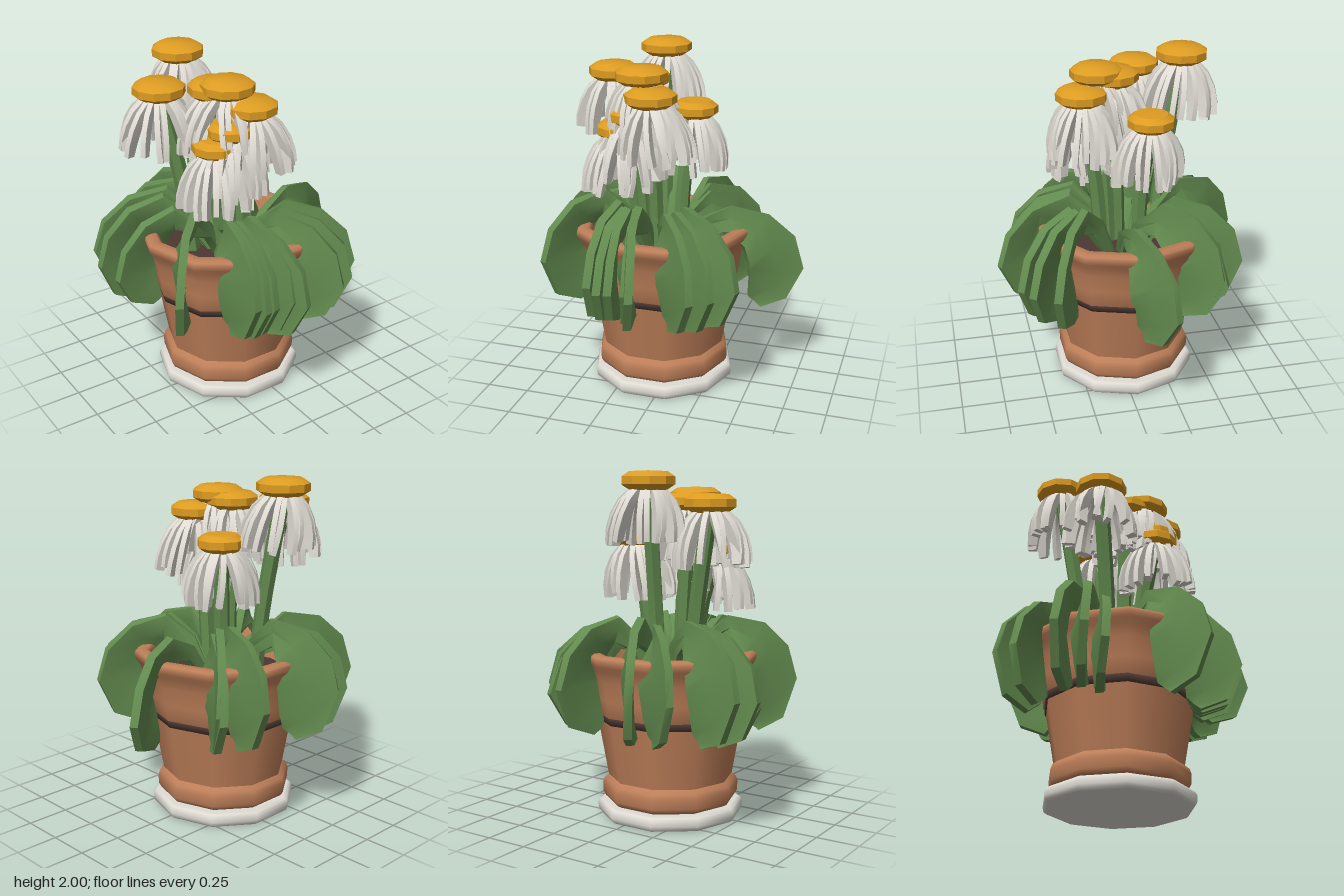
import * as THREE from 'three';
import { toCreasedNormals } from 'three/addons/utils/BufferGeometryUtils.js';

const mat = (name, color) => Object.assign(new THREE.MeshStandardMaterial({ color }), { name });

const CX = -0.062, CZ = -0.036; // pot axis

// small seeded generator for natural variation
let seed = 7;
const jitter = (a) => {
  seed = (seed * 16807) % 2147483647;
  return (seed / 2147483647 - 0.5) * 2 * a;
};

// closed solid swept along points; the section is scaled by [half width, half thickness]
function loft(points, section, scales, side) {
  const pos = [], idx = [], k = section.length, last = points.length - 1;
  points.forEach((p, i) => {
    const t = points[Math.min(i + 1, last)].clone().sub(points[Math.max(i - 1, 0)]).normalize();
    const n = side.clone().cross(t).normalize();
    const s = t.clone().cross(n);
    const [w, h] = scales[i];
    section.forEach(([a, b]) => {
      const v = p.clone().addScaledVector(n, a * w).addScaledVector(s, b * h);
      pos.push(v.x, v.y, v.z);
    });
  });
  for (let i = 0; i < last; i++) {
    for (let j = 0; j < k; j++) {
      const a = i * k + j, b = i * k + (j + 1) % k;
      idx.push(a, b, b + k, a, b + k, a + k);
    }
  }
  for (let j = 1; j < k - 1; j++) {
    idx.push(0, j + 1, j, last * k, last * k + j, last * k + j + 1);
  }
  const g = new THREE.BufferGeometry();
  g.setAttribute('position', new THREE.Float32BufferAttribute(pos, 3));
  g.setIndex(idx);
  return toCreasedNormals(g, 0.6);
}

// ten-sided turned part with a corner pointing to +x
function turned(profile) {
  return new THREE.LatheGeometry(profile.map(([r, y]) => new THREE.Vector2(r, y)), 10, Math.PI / 10);
}

export function createModel() {
  const root = new THREE.Group();
  root.name = 'pottedFlowers';
  const terracotta = mat('terracotta', 0xbe7f59);
  const cream = mat('saucerCream', 0xdfdcd4);
  const dark = mat('darkBrown', 0x4c3833);
  const green = mat('leafGreen', 0x638b4f);
  const white = mat('petalWhite', 0xdfdbd3);
  const yellow = mat('discYellow', 0xdd9c22);

  const add = (parent, name, geometry, material) => {
    const m = new THREE.Mesh(geometry, material);
    m.name = name;
    parent.add(m);
    return m;
  };

  // pot, saucer, belt and soil
  const pot = new THREE.Group();
  pot.name = 'pot';
  pot.position.set(CX, 0, CZ);
  root.add(pot);
  add(pot, 'saucer', turned([[0, 0.003], [0.41, 0.003], [0.425, 0.015], [0.43, 0.035], [0.43, 0.06], [0.42, 0.08],
    [0.4, 0.088], [0, 0.088]]), cream);
  add(pot, 'foot', turned([[0.36, 0.086], [0.385, 0.1], [0.4, 0.125], [0.402, 0.18], [0.392, 0.21], [0.366, 0.232]]), terracotta);
  add(pot, 'body', turned([[0.366, 0.225], [0.43, 0.585]]), terracotta);
  add(pot, 'belt', turned([[0.40, 0.58], [0.436, 0.58], [0.442, 0.625], [0.40, 0.626]]), dark);
  add(pot, 'collar', turned([[0.42, 0.622], [0.448, 0.624], [0.458, 0.72], [0.475, 0.83], [0.5, 0.895], [0.522, 0.925],
    [0.53, 0.955], [0.525, 0.975], [0.505, 0.985], [0.46, 0.983], [0.44, 0.965], [0.4, 0.78]]), terracotta);
  add(pot, 'soil', turned([[0.41, 0.82], [0, 0.84]]), dark);

  // leaves: base, bend and tip in plan (x, z pairs), then extra height
  const leaves = [
    [0.05, 0.0, 0.5, 0.03, 0.77, -0.17, 0],
    [0.02, -0.06, 0.24, -0.19, 0.5, -0.59, 0.02],
    [0.02, -0.1, 0.24, -0.26, 0.47, -0.51, 0.06],
    [0.02, -0.12, 0.22, -0.33, 0.28, -0.7, 0.08],
    [-0.08, -0.14, -0.06, -0.54, -0.24, -0.73, 0.1],
    [-0.1, -0.14, -0.2, -0.54, -0.42, -0.63, 0.06],
    [-0.12, -0.12, -0.4, -0.38, -0.76, -0.47, 0.08],
    [-0.14, -0.1, -0.5, -0.34, -0.76, -0.3, 0.06],
    [-0.14, -0.05, -0.45, -0.24, -0.7, -0.19, 0.0],
    [-0.14, 0.02, -0.52, 0.08, -0.67, 0.4, 0.08],
    [-0.12, 0.05, -0.36, 0.28, -0.31, 0.64, 0.06],
    [-0.12, 0.06, -0.32, 0.3, -0.25, 0.65, 0.03],
    [-0.1, 0.07, -0.28, 0.32, -0.19, 0.62, 0.03],
    [-0.09, 0.07, -0.19, 0.4, -0.03, 0.74, 0.04],
    [-0.08, 0.07, -0.17, 0.36, -0.09, 0.64, 0.05],
    [-0.03, 0.07, 0.06, 0.42, 0.27, 0.63, 0.03],
    [0.0, 0.06, 0.12, 0.39, 0.39, 0.59, 0.04],
    [0.02, 0.05, 0.17, 0.35, 0.52, 0.47, 0.06],
  ];
  // each station: fraction of reach, height, half width
  const stations = [[0, 0.8, 0.03], [0.15, 0.98, 0.045], [0.36, 1.04, 0.075], [0.56, 0.97, 0.12],
    [0.69, 0.85, 0.16], [0.73, 0.73, 0.172], [0.67, 0.61, 0.13], [0.56, 0.53, 0.05]];
  const cupped = [[1, -1], [1, 1], [0, 0.4], [-1, 1], [-1, -1], [0, -1.6]];
  const foliage = new THREE.Group();
  foliage.name = 'foliage';
  root.add(foliage);
  leaves.forEach(([bx, bz, mx, mz, tx, tz, lift]) => {
    const plan = new THREE.QuadraticBezierCurve3(
      new THREE.Vector3(bx, 0, bz), new THREE.Vector3(mx, 0, mz), new THREE.Vector3(tx, 0, tz));
    const path = stations.map(([f, y]) => plan.getPoint(f).setY(y + lift * Math.min(1, f * 2.5) * (y > 0.7 ? 1 : 0.2)));
    const d = plan.getTangent(0.75);
    // side is turned so the blade's width lies in the drooping plane, rolled slightly
    const side = new THREE.Vector3(-d.z, 0.2, d.x).addScaledVector(d, 0.18).normalize();
    add(foliage, 'leaf', loft(path, cupped, stations.map(([, , w]) => [w, Math.min(0.023, w * 0.6)]), side), green);
  });

  // flowers: disc centre x, y, z, disc radius, then sideways lean of the petals in x and z
  const flowers = [
    [-0.155, 1.945, -0.4, 0.15, 0.03, 0.02], [-0.41, 1.825, -0.18, 0.148, -0.01, 0], [-0.145, 1.865, 0.1, 0.15, 0, 0],
    [-0.165, 1.835, 0.0, 0.15, 0, 0], [-0.06, 1.765, 0.2, 0.148, 0.04, 0], [0.09, 1.635, -0.165, 0.135, -0.02, 0.03],
    [-0.255, 1.565, 0.15, 0.135, -0.02, 0.02], [-0.18, 1.65, 0.17, 0.13, 0, 0],
  ];
  const droop = [[0.03, -0.035], [0.085, -0.06], [0.13, -0.115], [0.163, -0.19], [0.182, -0.265], [0.19, -0.335]];
  const widths = [0.014, 0.022, 0.029, 0.033, 0.032, 0.026];
  const strip = [[1, -1], [1, 1], [-1, 1], [-1, -1]];
  const petalCount = 20;
  flowers.forEach(([x, y, z, r, leanX, leanZ]) => {
    const flower = new THREE.Group();
    flower.name = 'flower';
    root.add(flower);

    const disc = add(flower, 'flowerDisc', toCreasedNormals(turned([[0, -0.055], [r * 0.68, -0.05], [r, -0.02],
      [r, 0.022], [r * 0.72, 0.05], [0, 0.055]]), 0.6), yellow);
    disc.position.set(x, y, z);
    disc.rotation.y = jitter(0.3);

    // petals are blades set edge-on around the disc
    for (let i = 0; i < petalCount; i++) {
      const a = (i / petalCount) * Math.PI * 2 + jitter(0.07);
      const spread = 1 + jitter(0.07), fall = 1 + jitter(0.07), twist = jitter(0.35);
      const path = droop.map(([pr, py], j) => {
        const f = j / 5, b = a + twist * f;
        return new THREE.Vector3(x + leanX * f + Math.cos(b) * pr * spread, y + py * fall,
          z + leanZ * f + Math.sin(b) * pr * spread);
      });
      const side = new THREE.Vector3(-Math.sin(a), 0, Math.cos(a));
      add(flower, 'petal', loft(path, strip, widths.map((w) => [w, 0.015]), side), white);
    }

    // stems rise almost straight, then reach for their disc
    const bx = CX + (x - CX) * 0.55, bz = CZ + (z - CZ) * 0.55;
    const curve = new THREE.CatmullRomCurve3([
      new THREE.Vector3(bx, 0.8, bz),
      new THREE.Vector3(bx + (x - bx) * 0.28, 1.22, bz + (z - bz) * 0.28),
      new THREE.Vector3(x, y - 0.03, z)]);
    add(flower, 'stem', toCreasedNormals(new THREE.TubeGeometry(curve, 8, 0.045, 6), 0.6), green);
  });

  return root;
}
